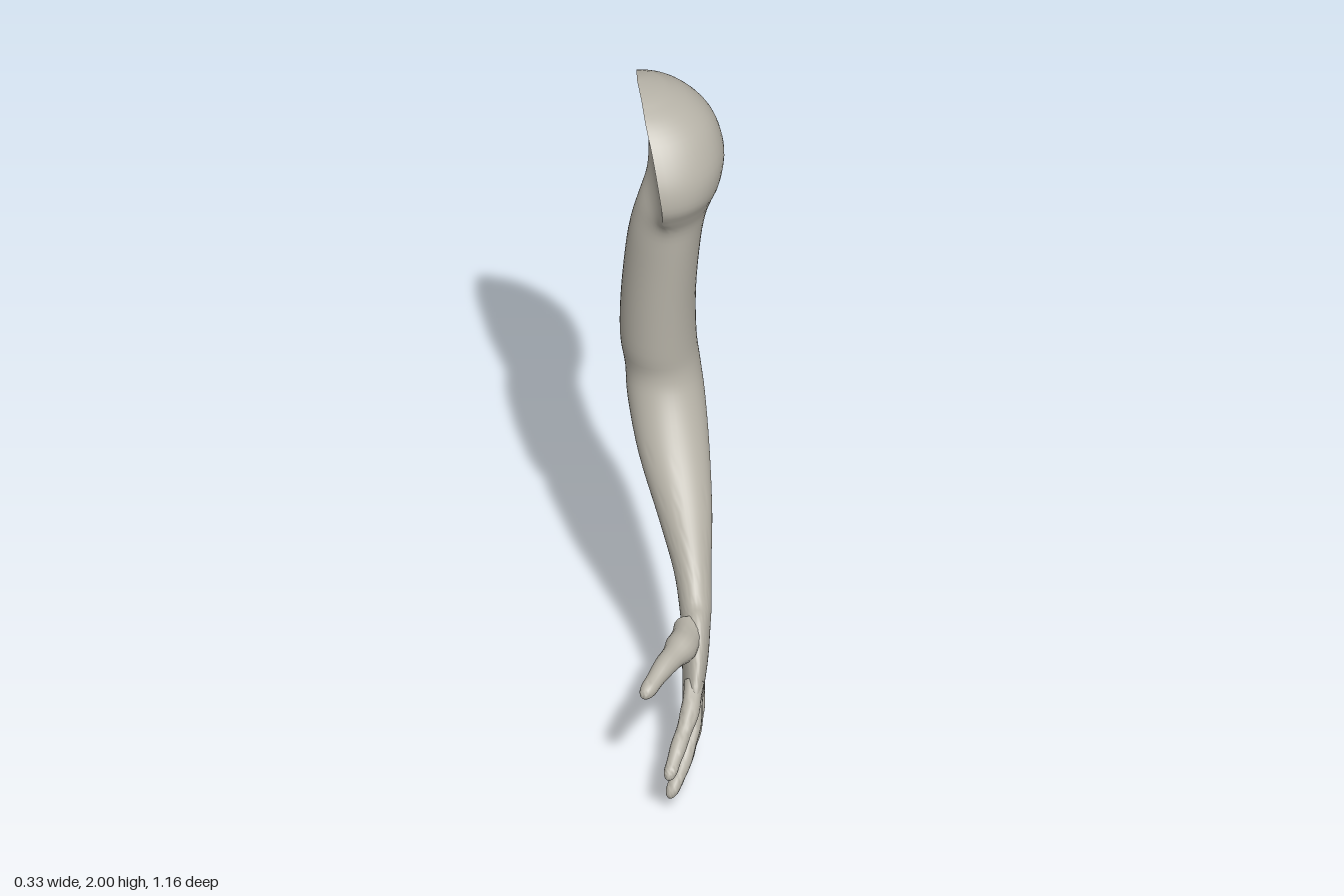
import * as THREE from 'three';
import { toCreasedNormals } from 'three/addons/utils/BufferGeometryUtils.js';

const V = (x, y, z) => new THREE.Vector3(x, y, z);

// Skin a list of closed rings (first and last may be collapsed to a point)
function loft(rings, crease) {
  const n = rings[0].length, pos = [], idx = [];
  rings.forEach(r => r.forEach(p => pos.push(p.x, p.y, p.z)));
  for (let i = 0; i < rings.length - 1; i++) {
    for (let j = 0; j < n; j++) {
      const a = i * n + j, b = i * n + (j + 1) % n, c = a + n, d = b + n;
      if (i > 0) idx.push(a, b, c);
      if (i < rings.length - 2) idx.push(b, d, c);
      else if (i > 0) continue;
      if (i === 0) idx.push(a, d, c);
    }
  }
  const g = new THREE.BufferGeometry();
  g.setAttribute('position', new THREE.Float32BufferAttribute(pos, 3));
  g.setIndex(idx);
  return toCreasedNormals(g, crease);
}

// Each section: front point y,z; back point y,z; centre x; outer and inner half width
const SECTIONS = [
  [1.985, -0.35, 1.985, -0.50, -0.075, 0.075, 0],
  [1.95, -0.27, 1.95, -0.545, -0.07, 0.15, 0],
  [1.89, -0.205, 1.89, -0.567, -0.058, 0.20, 0],
  [1.80, -0.15, 1.80, -0.58, -0.045, 0.215, 0],
  [1.72, -0.138, 1.72, -0.56, -0.035, 0.195, 0],
  [1.66, -0.165, 1.66, -0.525, -0.03, 0.168, 0.02],
  [1.60, -0.197, 1.60, -0.50, -0.005, 0.124, 0.08],
  [1.50, -0.203, 1.50, -0.482, -0.005, 0.105, 0.11],
  [1.30, -0.21, 1.30, -0.476, -0.02, 0.105, 0.115],
  [1.13, -0.215, 1.14, -0.468, -0.025, 0.112, 0.114],
  [1.05, -0.217, 1.01, -0.447, -0.015, 0.113, 0.11],
  [0.98, -0.19, 0.90, -0.385, -0.01, 0.117, 0.112],
  [0.86, -0.11, 0.76, -0.25, 0.0, 0.11, 0.10],
  [0.72, 0.0, 0.62, -0.105, 0.02, 0.085, 0.075],
  [0.60, 0.09, 0.50, 0.01, 0.032, 0.06, 0.052],
  [0.515, 0.17, 0.42, 0.08, 0.035, 0.05, 0.045],
  [0.495, 0.22, 0.36, 0.13, 0.035, 0.042, 0.045],
  [0.44, 0.295, 0.29, 0.175, 0.03, 0.035, 0.043],
  [0.37, 0.355, 0.235, 0.213, 0.018, 0.031, 0.034],
  [0.305, 0.392, 0.205, 0.24, 0.008, 0.026, 0.027],
  [0.28, 0.385, 0.195, 0.252, 0.004, 0.014, 0.014],
];

// Shoulder, upper arm, forearm and palm as one smooth skin, flat at the shoulder cut
function armGeometry() {
  const spline = f => new THREE.CatmullRomCurve3(SECTIONS.map(f), false, 'catmullrom', 0.5);
  const front = spline(s => V(0, s[0], s[1]));
  const back = spline(s => V(0, s[2], s[3]));
  const width = spline(s => V(s[4], s[5], s[6]));
  const sides = 48, steps = (SECTIONS.length - 1) * 4;
  const rings = [Array.from({ length: sides }, () => V(-0.08, 2, -0.43))];
  for (let i = 0; i <= steps; i++) {
    const t = i / steps, f = front.getPoint(t), b = back.getPoint(t), w = width.getPoint(t);
    const mid = f.clone().add(b).multiplyScalar(0.5), half = f.clone().sub(b).multiplyScalar(0.5);
    const inner = Math.max(w.z, 0);
    rings.push(Array.from({ length: sides }, (_, j) => {
      const a = j / sides * Math.PI * 2, c = Math.cos(a);
      const p = mid.clone().addScaledVector(half, Math.sin(a));
      p.x = w.x + c * (c > 0 ? w.y : inner);
      return p;
    }));
  }
  const end = V(0.002, 0.232, 0.325);
  rings.push(Array.from({ length: sides }, () => end.clone()));
  return loft(rings, 0.9);
}

// Tapered finger with a rounded tip and slight joint swellings
function fingerGeometry(points, radii) {
  const curve = new THREE.CatmullRomCurve3(points.map(p => V(...p)));
  const sides = 16, steps = 28, rings = [];
  for (let i = 0; i <= steps; i++) {
    const t = 1 - Math.pow(1 - i / steps, 1.6);
    const p = curve.getPoint(t), T = curve.getTangent(t);
    const e1 = V(1, 0, 0).addScaledVector(T, -T.x).normalize(), e2 = T.clone().cross(e1);
    const k = Math.min(t * (radii.length - 1), radii.length - 1.0001), n = Math.floor(k);
    let r = THREE.MathUtils.lerp(radii[n], radii[n + 1], k - n);
    r *= 1 + 0.05 * Math.cos(t * Math.PI * 6);
    const tip = Math.max(0, (t - 0.88) / 0.12);
    r *= Math.sqrt(Math.max(0, 1 - tip * tip));
    if (i === 0) r = 0;
    rings.push(Array.from({ length: sides }, (_, j) => {
      const a = j / sides * Math.PI * 2;
      return p.clone().addScaledVector(e1, r * Math.cos(a)).addScaledVector(e2, r * Math.sin(a));
    }));
  }
  return loft(rings, 1.2);
}

const FINGERS = {
  thumb: [[[0.02, 0.44, 0.19], [-0.025, 0.445, 0.30], [-0.08, 0.443, 0.38], [-0.155, 0.413, 0.487]],
    [0.05, 0.046, 0.031, 0.024]],
  indexFinger: [[[0.018, 0.35, 0.31], [-0.008, 0.285, 0.405], [-0.05, 0.23, 0.495], [-0.09, 0.175, 0.582]],
    [0.03, 0.027, 0.023, 0.02]],
  middleFinger: [[[0.015, 0.31, 0.31], [0.002, 0.22, 0.38], [-0.03, 0.14, 0.448], [-0.08, 0.055, 0.512]],
    [0.029, 0.026, 0.023, 0.02]],
  ringFinger: [[[0.02, 0.28, 0.275], [0.01, 0.19, 0.325], [-0.015, 0.10, 0.37], [-0.058, 0.003, 0.412]],
    [0.027, 0.025, 0.022, 0.019]],
  littleFinger: [[[0.03, 0.28, 0.225], [0.03, 0.20, 0.256], [0.02, 0.12, 0.277], [-0.005, 0.042, 0.298]],
    [0.026, 0.022, 0.019, 0.017]],
};

export function createModel() {
  const group = new THREE.Group();
  const skin = new THREE.MeshStandardMaterial({ color: 0xb5b1a6 });
  skin.name = 'warm grey';
  const add = (name, geometry) => {
    const mesh = new THREE.Mesh(geometry, skin);
    mesh.name = name;
    group.add(mesh);
  };
  add('armAndPalm', armGeometry());
  for (const [name, [points, radii]] of Object.entries(FINGERS)) add(name, fingerGeometry(points, radii));
  return group;
}
